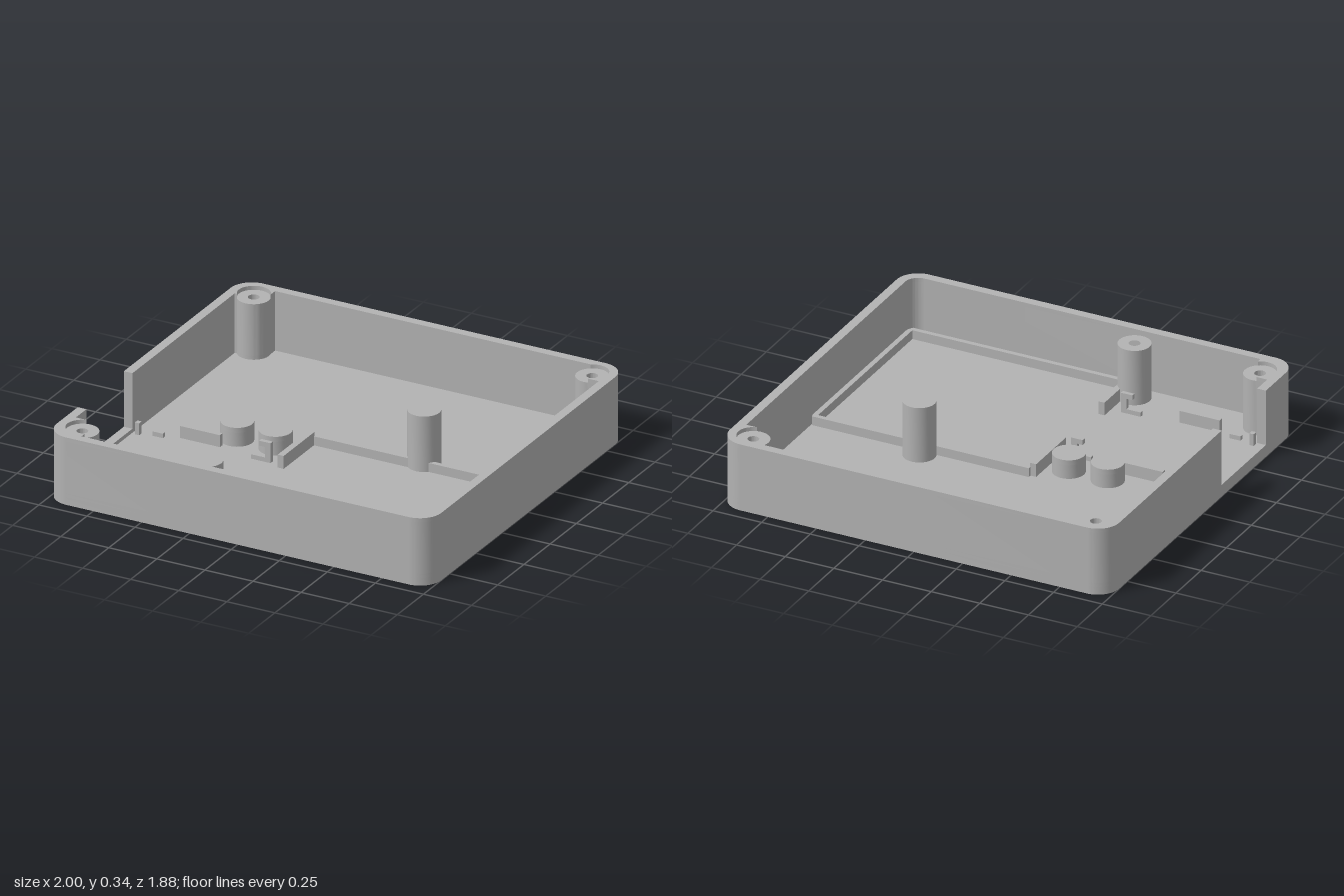
import * as THREE from 'three';
import { toCreasedNormals } from 'three/addons/utils/BufferGeometryUtils.js';

const FLOOR = 0.04, SILL = 0.06, POST_TOP = 0.32, RIM = 0.34;
const POST_R = 0.078, SCREW_R = 0.027, PIN_R = 0.018;
const SLOT_BACK = 0.19, SLOT_FRONT = 0.63;
const IN_X = 0.955, IN_Z = 0.895;

// Corner posts in the order the inner contour meets them; deg is where the contour joins the post
const cornerPosts = [
  { x: -0.88, z: -0.83, deg: 145 },
  { x: 0.88, z: -0.83, deg: 235 },
  { x: -0.88, z: 0.805, deg: 55 },
];

// Points on an arc in plan (x, z)
function arc(cx, cz, r, startDeg, sweepDeg, n = 24) {
  const pts = [];
  for (let i = 0; i <= n; i++) {
    const a = THREE.MathUtils.degToRad(startDeg + (sweepDeg * i) / n);
    pts.push([cx + r * Math.cos(a), cz + r * Math.sin(a)]);
  }
  return pts;
}
const circle = (x, z, r) => arc(x, z, r, 0, 360, 40).slice(0, -1);
const toVectors = (pts) => pts.map(([x, z]) => new THREE.Vector2(x, -z));

// Plan outline raised from y0 to y1
function slab(outline, y0, y1, holes = []) {
  const shape = new THREE.Shape(toVectors(outline));
  for (const h of holes) shape.holes.push(new THREE.Path(toVectors(h)));
  const geo = new THREE.ExtrudeGeometry(shape, { depth: y1 - y0, bevelEnabled: false });
  geo.rotateX(-Math.PI / 2);
  geo.translate(0, y0, 0);
  return toCreasedNormals(geo, 0.5);
}

// Outer contour, from the front end of the side slot round to its back end
const outer = [
  ...arc(-0.89, 0.83, 0.11, 180, -90),
  ...arc(0.89, 0.83, 0.11, 90, -90),
  ...arc(0.89, -0.83, 0.11, 0, -90),
  ...arc(-0.89, -0.83, 0.11, -90, -90),
];

// Inner contour, running the other way; posts either bulge in or are cut out as recesses
function inner(recessed) {
  const corner = ({ x, z, deg }) => arc(x, z, POST_R, deg, recessed ? 200 : -160);
  const [backRight, backLeft, frontRight] = cornerPosts.map(corner);
  const last = (pts) => pts[pts.length - 1];
  return [
    [-IN_X, backRight[0][1]], ...backRight, [last(backRight)[0], -IN_Z],
    [backLeft[0][0], -IN_Z], ...backLeft, [IN_X, last(backLeft)[1]],
    ...arc(0.89, 0.83, 0.065, 0, 90),
    [frontRight[0][0], IN_Z], ...frontRight, [-IN_X, last(frontRight)[1]],
  ];
}
const slottedRing = (recessed) => [
  [-1, SLOT_FRONT], ...outer, [-1, SLOT_BACK],
  [-IN_X, SLOT_BACK], ...inner(recessed), [-IN_X, SLOT_FRONT],
];

export function createModel() {
  const model = new THREE.Group();
  model.name = 'enclosureBase';
  const grey = new THREE.MeshStandardMaterial({ color: 0xb2b2b2 });
  grey.name = 'grey plastic';

  const add = (name, geo) => {
    const mesh = new THREE.Mesh(geo, grey);
    mesh.name = name;
    model.add(mesh);
  };
  const block = (name, x0, x1, z0, z1, top, bottom = FLOOR) => {
    const geo = new THREE.BoxGeometry(x1 - x0, top - bottom, z1 - z0);
    geo.translate((x0 + x1) / 2, (top + bottom) / 2, (z0 + z1) / 2);
    add(name, geo);
  };

  // Floor, slot sill, walls with corner posts, and rim
  const studs = [[-0.5, 0.025], [-0.3, 0.025]];
  const screwHoles = cornerPosts.map((p) => circle(p.x, p.z, SCREW_R));
  add('floor', slab(outer, 0, FLOOR, studs.map(([x, z]) => circle(x, z, PIN_R))));
  add('wallBase', slab(outer, FLOOR, SILL, [inner(false)]));
  add('wallsAndCornerPosts', slab(slottedRing(false), SILL, POST_TOP, screwHoles));
  add('rim', slab(slottedRing(true), POST_TOP, RIM));

  // Free-standing screw posts
  for (const [x, z] of [[-0.235, 0.805], [0.38, -0.145]]) {
    add('screwPost', slab(circle(x, z, POST_R), FLOOR, POST_TOP, [circle(x, z, SCREW_R)]));
  }

  // Round studs, hollow from underneath
  for (const [x, z] of studs) {
    add('stud', slab(circle(x, z, POST_R), FLOOR, 0.11, [circle(x, z, PIN_R)]));
    add('studCap', slab(circle(x, z, POST_R), 0.11, 0.135));
  }

  // Battery tray ribs
  block('trayBackRib', -0.165, 0.95, -0.112, -0.088, 0.085);
  block('trayFrontRib', -0.165, 0.95, 0.85, 0.874, 0.085);
  block('traySideRib', 0.93, 0.955, -0.1, 0.874, 0.085);
  block('trayEndRib', -0.194, -0.163, -0.095, 0.2, 0.105);
  block('trayEndRib', -0.194, -0.163, 0.585, 0.865, 0.105);

  // Circuit board guides and snap clips, one row on each side of the slot
  const rows = [
    { guide: [0.11, 0.135], clip: [0.153, 0.175], stop: [0.175, 0.2] },
    { guide: [0.68, 0.705], clip: [0.648, 0.668], stop: [0.63, 0.655] },
  ];
  for (const { guide, clip, stop } of rows) {
    block('boardGuide', -0.737, -0.53, ...guide, 0.1);
    block('boardRest', -0.86, -0.805, ...clip, 0.062);
    block('clipRest', -0.347, -0.275, ...clip, 0.062);
    block('clipStem', -0.275, -0.245, ...clip, 0.14);
    block('clipHook', -0.305, -0.275, ...clip, 0.14, 0.115);
    block('boardStop', -0.937, -0.915, ...stop, 0.1);
  }
  return model;
}
